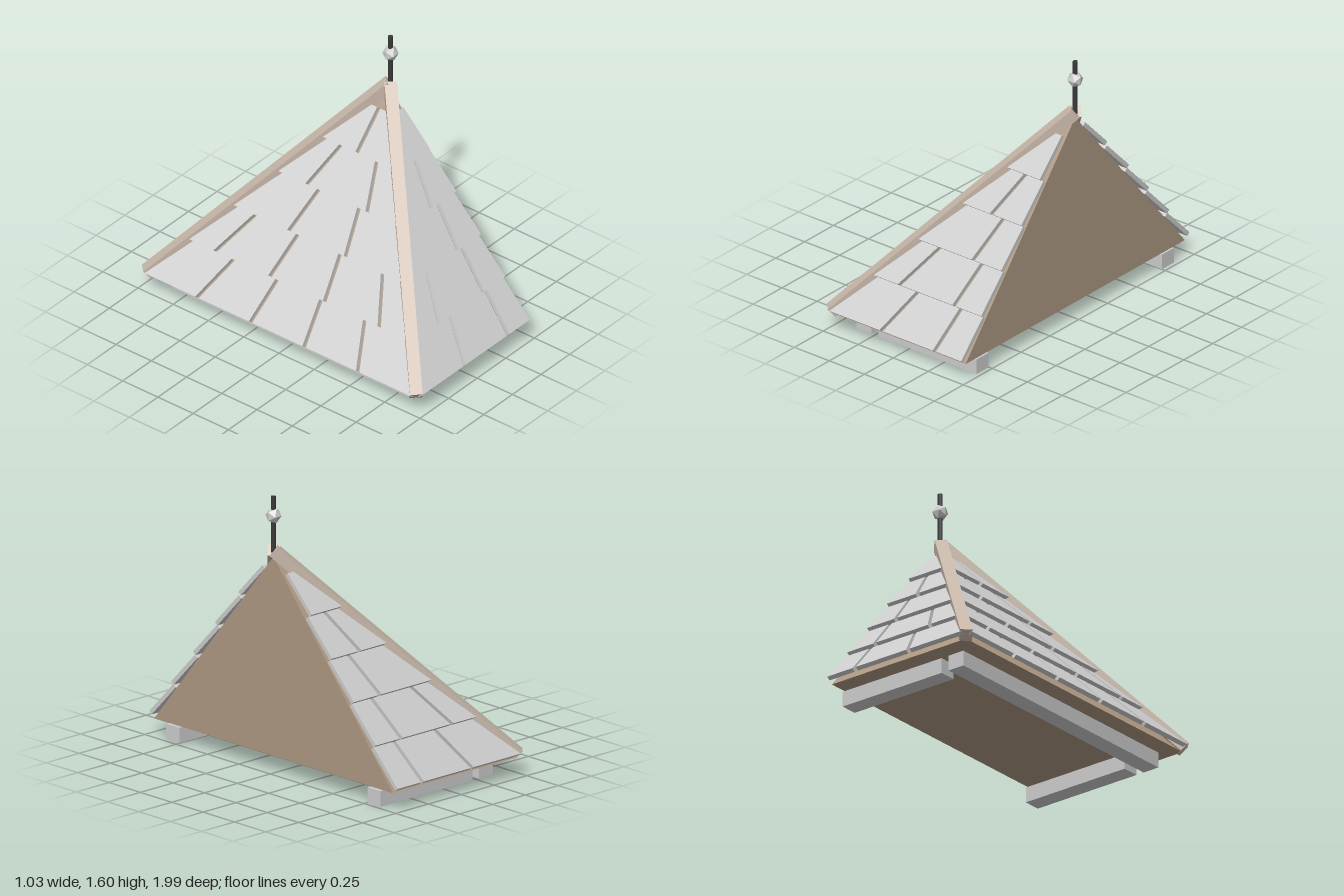
import * as THREE from 'three';
import { ConvexGeometry } from 'three/addons/geometries/ConvexGeometry.js';

const EDGE = 0.475;   // x of the flat cut face
const HALF = 0.95;    // half width of the eaves
const EAVES = 0.1;
const RISE = 1.15;
const SLOPE = Math.hypot(HALF, RISE);

const grey = new THREE.MeshStandardMaterial({ color: 0xcccccc });
const boards = new THREE.MeshStandardMaterial({ color: 0xac9780 });
const timber = new THREE.MeshStandardMaterial({ color: 0xc6b6a8 });
const iron = new THREE.MeshStandardMaterial({ color: 0x3a3a3a });

const V = (x, y, z) => new THREE.Vector3(x, y, z);

function add(parent, name, geometry, material, x = 0, y = 0, z = 0) {
  const mesh = new THREE.Mesh(geometry, material);
  mesh.name = name;
  mesh.position.set(x, y, z);
  parent.add(mesh);
  return mesh;
}

// Half width of the roof at a given height
const widthAt = (y) => HALF * (1 - (y - EAVES) / RISE);

// Tapered, tilted shingles; place(out, y, along) maps them onto one slope
function shingleSlope(name, place, halfOnly) {
  const group = new THREE.Group();
  group.name = name;
  const pitch = 0.211, gap = 0.012, thickness = 0.025;
  const rows = [
    [-1, -0.6, -0.2, 0.2, 0.6, 1],
    [-1, -0.75, -0.25, 0.25, 0.75, 1],
    [-1, -1 / 3, 1 / 3, 1],
    [-1, -0.5, 0.5, 1],
    [-1, 0, 1],
  ];
  rows.forEach((cuts, row) => {
    for (let i = 0; i < cuts.length - 1; i++) {
      const a = cuts[i], b = cuts[i + 1];
      if (halfOnly && b <= 0) continue;
      const points = [];
      // lower edge is lifted further than the upper edge
      for (const [y, lift] of [[EAVES + row * pitch, 0.052], [EAVES + (row + 1) * pitch, 0.031]]) {
        const w = widthAt(y);
        let start = a * w + (a > -1 ? gap : 0);
        const end = b * w - (b < 1 ? gap : 0);
        if (halfOnly) start = Math.max(start, 0);
        for (const off of [lift, lift - thickness]) {
          const out = w + off * RISE / SLOPE;
          const up = y + off * HALF / SLOPE;
          points.push(place(out, up, start), place(out, up, end));
        }
      }
      add(group, 'shingle', new ConvexGeometry(points), grey);
    }
  });
  return group;
}

export function createModel() {
  const model = new THREE.Group();
  model.name = 'halfHipRoof';

  // Solid boarded core
  add(model, 'roofCore', new ConvexGeometry([
    V(-EDGE, EAVES, HALF), V(-EDGE, EAVES, -HALF),
    V(EDGE, EAVES, HALF), V(EDGE, EAVES, -HALF),
    V(EDGE, EAVES + RISE, 0),
  ]), boards);

  // Shingles on the three slopes
  model.add(shingleSlope('rightShingles', (o, y, s) => V(EDGE - o, y, s), false));
  model.add(shingleSlope('frontShingles', (o, y, s) => V(EDGE - s, y, o), true));
  model.add(shingleSlope('backShingles', (o, y, s) => V(EDGE - s, y, -o), true));

  for (const side of [1, -1]) {
    // Hip beam from the eaves corner to the apex
    const foot = V(-0.48, 0.118, side * 0.956);
    const top = V(0.473, 1.287, 0);
    const along = top.clone().sub(foot);
    const length = along.length();
    along.normalize();
    const across = V(0, 1, 0).cross(along).normalize();
    const up = along.clone().cross(across);
    const beam = add(model, 'hipBeam', new THREE.BoxGeometry(0.07, 0.066, length), timber);
    beam.quaternion.setFromRotationMatrix(new THREE.Matrix4().makeBasis(across, up, along));
    beam.position.copy(foot).lerp(top, 0.5);

    // Short bearer under the front and back eaves
    add(model, 'sideBearer', new THREE.BoxGeometry(0.7, 0.09, 0.105), grey, 0.125, 0.045, side * 0.8025);
  }

  // Long bearer
  add(model, 'longBearer', new THREE.BoxGeometry(0.105, 0.09, 1.71), grey, -0.3275, 0.045, 0);

  // Finial
  const rod = new THREE.CylinderGeometry(0.014, 0.014, 0.36, 8);
  add(model, 'finialRod', rod, iron, EDGE, 1.42, 0);
  const ball = add(model, 'finialBall', new THREE.IcosahedronGeometry(0.046, 0),
    new THREE.MeshStandardMaterial({ color: 0xcccccc, flatShading: true }), EDGE, 1.488, 0);
  ball.rotation.y = Math.PI / 2;

  return model;
}
